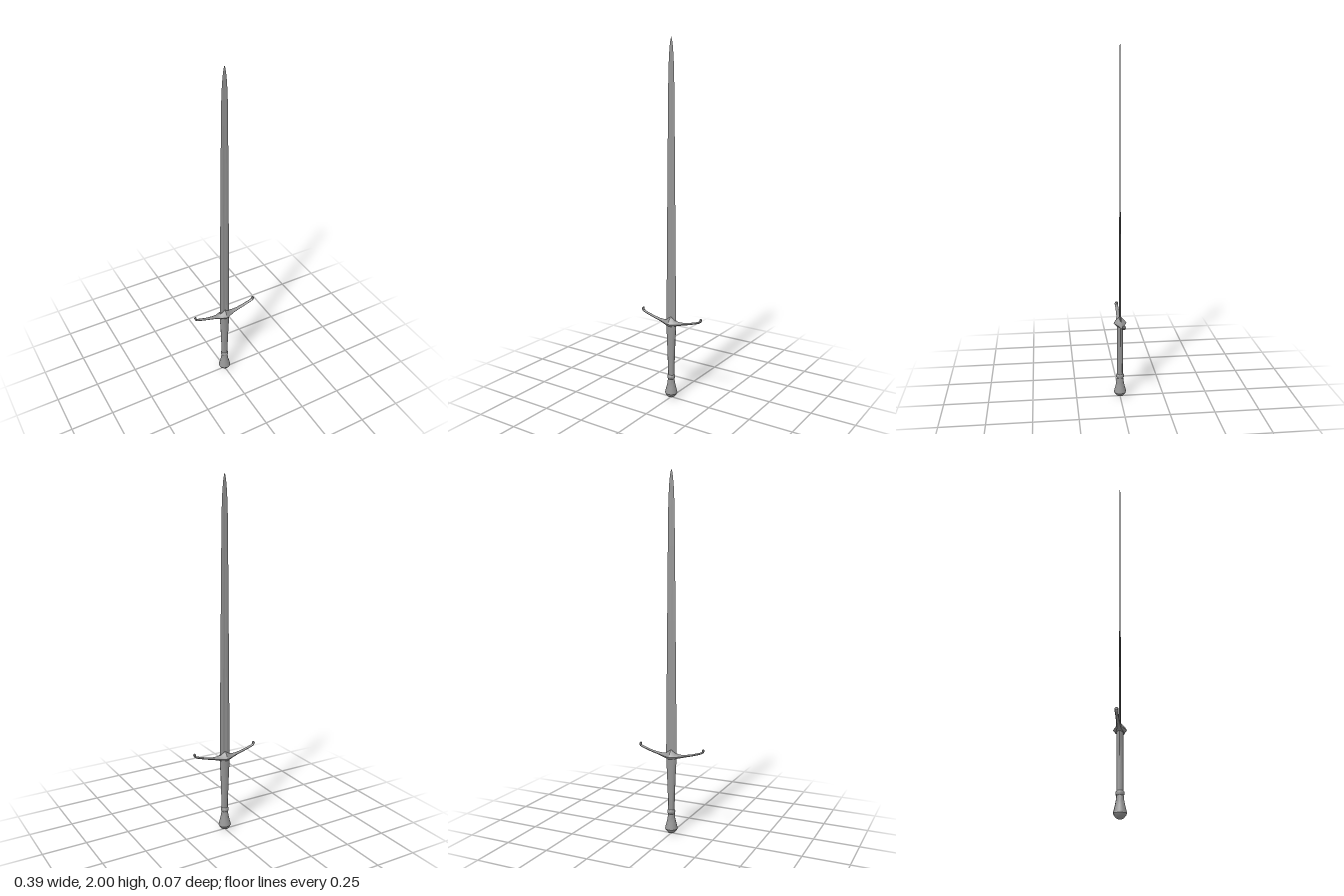
import * as THREE from 'three';
import { toCreasedNormals } from 'three/addons/utils/BufferGeometryUtils.js';

// Dark steel
const material = new THREE.MeshStandardMaterial({ color: 0x959595 });

// Skin a list of closed rings (counter-clockwise seen against the travel direction) and cap both ends.
function loft(rings, crease) {
  const n = rings[0].length;
  const points = rings.flat();
  const index = [];
  for (let i = 0; i < rings.length - 1; i++) {
    for (let j = 0; j < n; j++) {
      const a = i * n + j, b = i * n + (j + 1) % n;
      index.push(a, b, b + n, a, b + n, a + n);
    }
  }
  const last = (rings.length - 1) * n;
  for (let j = 1; j < n - 1; j++) {
    index.push(0, j + 1, j, last, last + j, last + j + 1);
  }
  const geometry = new THREE.BufferGeometry().setFromPoints(points);
  geometry.setIndex(index);
  return toCreasedNormals(geometry, crease);
}

// Upright elliptical loft from rows of [y, half width, half depth].
function column(rows, sides, crease) {
  return loft(rows.map(([y, rx, rz]) => Array.from({ length: sides }, (_, j) => {
    const a = j / sides * Math.PI * 2;
    return new THREE.Vector3(rx * Math.cos(a), y, -rz * Math.sin(a));
  })), crease);
}

// Blade: sharp edges, bevels and a shallow central fuller.
function bladeGeometry() {
  const rows = [
    [0.44, 0.032, 0.0046], [0.8, 0.029, 0.0036], [1.2, 0.025, 0.0026],
    [1.6, 0.021, 0.0018], [1.82, 0.018, 0.0014], [1.91, 0.014, 0.0012],
    [1.96, 0.009, 0.001], [1.985, 0.005, 0.0008], [2, 0.0006, 0.0003],
  ];
  const section = [[1, 0], [0.4, -1], [0, -0.7], [-0.4, -1], [-1, 0], [-0.4, 1], [0, 0.7], [0.4, 1]];
  return loft(rows.map(([y, w, d]) => section.map(([u, v]) => new THREE.Vector3(u * w, y, v * d))), 0.1);
}

// Crossguard: ridged section swept along a curve whose ends curl upwards.
function guardGeometry() {
  // x, y, half depth, height above and below the path
  const half = [
    [0, 0.448, 0.036, 0.036, 0.016], [0.014, 0.448, 0.032, 0.028, 0.015],
    [0.03, 0.449, 0.025, 0.015, 0.012], [0.05, 0.451, 0.017, 0.009, 0.009],
    [0.08, 0.456, 0.012, 0.006, 0.006], [0.12, 0.465, 0.010, 0.005, 0.005],
    [0.16, 0.477, 0.009, 0.005, 0.005], [0.18, 0.484, 0.009, 0.005, 0.005],
    [0.188, 0.489, 0.010, 0.005, 0.005], [0.191, 0.496, 0.010, 0.006, 0.006],
    [0.190, 0.502, 0.009, 0.006, 0.006], [0.188, 0.506, 0.005, 0.003, 0.003],
  ];
  const path = [...half.slice(1).reverse().map(([x, ...rest]) => [-x, ...rest]), ...half];
  const section = [[-1, 0], [-0.66, 0.5], [-0.2, 1], [0.2, 1], [0.66, 0.5], [1, 0], [0.65, -1], [-0.65, -1]];
  return loft(path.map(([x, y, d, up, down], i) => {
    const p = path[Math.max(i - 1, 0)], q = path[Math.min(i + 1, path.length - 1)];
    const t = new THREE.Vector2(q[0] - p[0], q[1] - p[1]).normalize();
    return section.map(([u, v]) => {
      const h = v * (v > 0 ? up : down);
      return new THREE.Vector3(x - t.y * h, y + t.x * h, u * d);
    });
  }), 0.45);
}

export function createModel() {
  const sword = new THREE.Group();
  sword.name = 'sword';
  const add = (name, geometry) => {
    const mesh = new THREE.Mesh(geometry, material);
    mesh.name = name;
    sword.add(mesh);
  };

  add('blade', bladeGeometry());
  add('crossguard', guardGeometry());

  // Flattened grip that widens towards the guard
  add('grip', column([
    [0.12, 0.018, 0.016], [0.2, 0.020, 0.017], [0.28, 0.023, 0.0175],
    [0.36, 0.027, 0.018], [0.42, 0.031, 0.018], [0.445, 0.032, 0.018],
  ], 12, 0.7));

  // Slim raised ring between the grip and pommel
  add('collar', column([
    [0.114, 0.018, 0.018], [0.118, 0.021, 0.022], [0.129, 0.022, 0.023],
    [0.135, 0.021, 0.021], [0.139, 0.018, 0.017],
  ], 12, 0.6));

  // Flared pommel with a bevelled base
  add('pommel', column([
    [0, 0.008, 0.008], [0.006, 0.020, 0.020], [0.018, 0.031, 0.030],
    [0.028, 0.036, 0.035], [0.042, 0.033, 0.032], [0.065, 0.027, 0.026],
    [0.09, 0.021, 0.021], [0.118, 0.019, 0.018],
  ], 12, 0.6));

  return sword;
}
